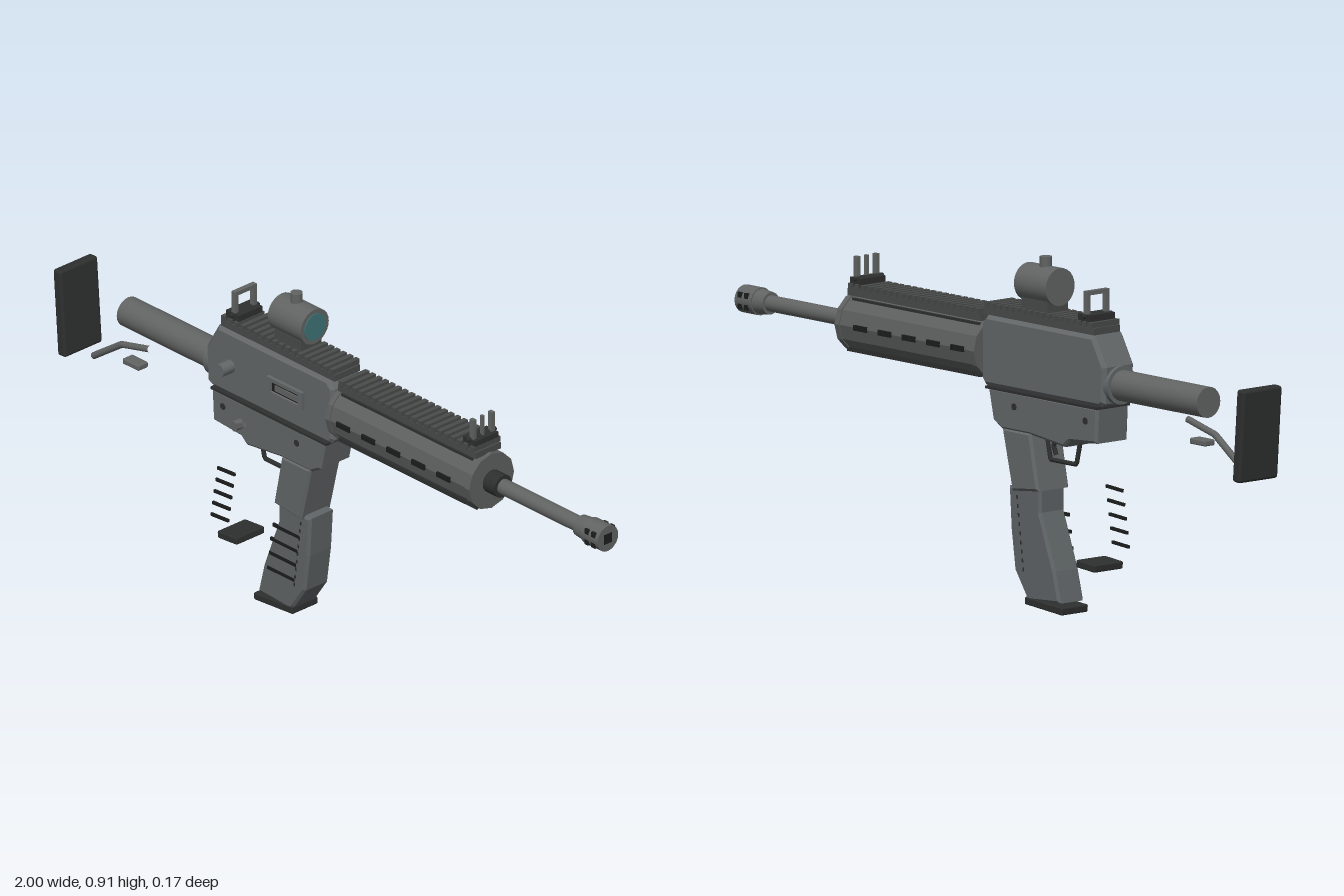
import * as THREE from 'three';
import { RoundedBoxGeometry } from 'three/addons/geometries/RoundedBoxGeometry.js';

const CZ = -0.006; // centre plane of the body

export function createModel() {
  const model = new THREE.Group();
  model.name = 'carbine';
  const mat = (name, color, flat = false) => {
    const m = new THREE.MeshStandardMaterial({ color });
    m.name = name;
    m.flatShading = flat;
    return m;
  };
  const grey = mat('receiverGrey', 0x636768);
  const guardGrey = mat('handguardGrey', 0x5d605f, true);
  const steel = mat('steel', 0x626463);
  const magGrey = mat('magazineGrey', 0x5f6466);
  const railGrey = mat('railGrey', 0x484b4a);
  const dark = mat('darkPolymer', 0x2e2f2f);
  const black = mat('slotBlack', 0x1c1d1d);
  const glass = mat('lensTeal', 0x3f7478);

  const add = (name, geo, material, x = 0, y = 0, z = CZ, rz = 0) => {
    const m = new THREE.Mesh(geo, material);
    m.name = name;
    m.position.set(x, y, z);
    m.rotation.z = rz;
    model.add(m);
    return m;
  };
  const box = (name, m, w, h, d, x, y, z = CZ, rz = 0) =>
    add(name, new THREE.BoxGeometry(w, h, d), m, x, y, z, rz);
  const rbox = (name, m, w, h, d, x, y, z = CZ, rz = 0, r = 0.006) =>
    add(name, new RoundedBoxGeometry(w, h, d, 2, r), m, x, y, z, rz);
  // cylinder along x from x0 to x1
  const rod = (name, m, x0, x1, y, r0, r1 = r0, seg = 20, z = CZ) =>
    add(name, new THREE.CylinderGeometry(r1, r0, x1 - x0, seg).rotateZ(-Math.PI / 2), m, (x0 + x1) / 2, y, z);
  // cylinder along z
  const pin = (name, m, r, len, x, y, z) =>
    add(name, new THREE.CylinderGeometry(r, r, len, 14).rotateX(Math.PI / 2), m, x, y, z);
  // side profile extruded symmetrically about the centre plane
  const slab = (name, m, pts, half, bevel = 0.007) => {
    const shape = new THREE.Shape(pts.map(p => new THREE.Vector2(...p)));
    const geo = new THREE.ExtrudeGeometry(shape, {
      depth: 2 * (half - bevel), bevelEnabled: true, bevelThickness: bevel,
      bevelSize: bevel, bevelOffset: -bevel, bevelSegments: 1,
    });
    return add(name, geo.translate(0, 0, bevel - half), m);
  };
  const tube = (name, m, pts, r, z) => {
    const path = new THREE.CurvePath();
    const v = pts.map(p => new THREE.Vector3(p[0], p[1], 0));
    for (let i = 1; i < v.length; i++) path.add(new THREE.LineCurve3(v[i - 1], v[i]));
    return add(name, new THREE.TubeGeometry(path, 36, r, 8), m, 0, 0, z);
  };

  // Receiver halves
  slab('upperReceiver', grey, [[-0.44, 0.57], [-0.425, 0.56], [0.02, 0.56], [0.032, 0.575], [0.032, 0.72],
    [0.012, 0.742], [-0.4, 0.742], [-0.445, 0.665]], 0.053, 0.01);
  slab('lowerReceiver', grey, [[-0.415, 0.465], [-0.31, 0.458], [-0.29, 0.44], [-0.16, 0.455], [-0.05, 0.455],
    [-0.015, 0.475], [0.003, 0.558], [-0.42, 0.558]], 0.055);
  slab('magazineWell', grey, [[-0.19, 0.312], [-0.088, 0.301], [-0.05, 0.46], [-0.16, 0.46]], 0.055);
  box('receiverSeam', dark, 0.43, 0.007, 0.113, -0.205, 0.557);

  // Ejection port: raised frame around a dark opening with a bolt
  for (const s of [-1, 1]) {
    box('portFrame', grey, 0.132, 0.01, 0.012, -0.14, 0.65 + s * 0.02, 0.051);
    box('portFrame', grey, 0.014, 0.05, 0.012, -0.14 + s * 0.059, 0.65, 0.051);
  }
  box('portOpening', black, 0.108, 0.032, 0.004, -0.14, 0.65, 0.047);
  box('bolt', steel, 0.09, 0.016, 0.004, -0.135, 0.648, 0.05);

  // Controls on the front side
  pin('forwardAssist', grey, 0.018, 0.045, -0.35, 0.645, 0.064);
  pin('selectorHub', steel, 0.014, 0.03, -0.31, 0.496, 0.058);
  box('selectorLever', steel, 0.05, 0.011, 0.008, -0.295, 0.503, 0.07, 0.45);
  for (const x of [-0.375, -0.1]) pin('receiverPin', dark, 0.009, 0.114, x, 0.52, CZ);

  // Trigger and guard
  tube('triggerGuard', dark, [[-0.292, 0.445], [-0.278, 0.388], [-0.178, 0.388], [-0.163, 0.445]], 0.006, CZ);
  tube('trigger', dark, [[-0.2, 0.45], [-0.19, 0.425], [-0.2, 0.402]], 0.006, CZ);

  // Magazine
  slab('magazine', magGrey, [[-0.185, 0.32], [-0.185, 0.255], [-0.24, 0.11], [-0.26, 0.03], [-0.135, 0.022],
    [-0.085, 0.095], [-0.07, 0.2], [-0.063, 0.31]], 0.043);
  rbox('magazineBase', dark, 0.145, 0.02, 0.09, -0.2, 0.0165, CZ, 0.08, 0.004);
  [[-0.152, 0.243], [-0.16, 0.2], [-0.165, 0.158], [-0.172, 0.113]].forEach(([x, y]) =>
    box('magazineRib', black, 0.1, 0.009, 0.006, x, y, 0.036));
  for (let i = 0; i < 9; i++)
    for (const s of [-1, 1])
      box('magazineMark', dark, 0.005, 0.01, 0.003, -0.098 - i * 0.003, 0.285 - i * 0.023, CZ + s * 0.0425, -0.1);

  // Grip ribs and grip cap
  for (let i = 0; i < 5; i++)
    box('gripRib', black, 0.064, 0.008, 0.006, -0.37 - i * 0.006, 0.333 - i * 0.0355, 0.042, 0.07);
  rbox('gripCap', dark, 0.072, 0.02, 0.098, -0.367, 0.142, CZ, 0.08, 0.004);

  // Stock: tube, collar, strut, latch, butt pad
  rod('bufferTube', steel, -0.787, -0.43, 0.616, 0.04);
  rod('tubeCollar', grey, -0.455, -0.43, 0.616, 0.05);
  tube('stockStrut', steel, [[-0.89, 0.457], [-0.785, 0.53], [-0.68, 0.556]], 0.009, 0.018);
  rbox('stockLatch', steel, 0.06, 0.016, 0.035, -0.725, 0.503, 0.027, 0, 0.004);
  rbox('buttPad', dark, 0.03, 0.242, 0.132, -0.975, 0.56, CZ, 0.075, 0.008);

  // Twelve-sided handguard with end rings, side slots and bottom strip
  const gy = 0.648;
  rod('handguard', guardGrey, 0.032, 0.56, gy, 0.075, 0.075, 12);
  rod('rearRing', guardGrey, 0.03, 0.045, gy, 0.078, 0.078, 12);
  rod('frontRing', guardGrey, 0.55, 0.567, gy, 0.078, 0.078, 12);
  for (let i = 0; i < 5; i++) {
    const x = 0.095 + i * 0.0935;
    for (const s of [-1, 1]) {
      box('ventSlot', black, 0.048, 0.014, 0.01, x, gy, CZ + s * 0.074);
    }
  }
  for (const s of [-1, 1]) {
    box('upperGroove', dark, 0.49, 0.007, 0.007, 0.295, 0.712, CZ + s * 0.038);
    box('lowerStrip', dark, 0.515, 0.012, 0.007, 0.3, 0.582, CZ + s * 0.04);
  }
  box('bottomStrip', dark, 0.515, 0.012, 0.03, 0.3, 0.577);

  // Top rails: a base and a row of teeth
  const rail = (x0, x1, y, n) => {
    box('railBase', railGrey, x1 - x0, 0.018, 0.088, (x0 + x1) / 2, y);
    const step = (x1 - x0) / n;
    for (let i = 0; i < n; i++)
      box('railTooth', railGrey, step * 0.58, 0.014, 0.094, x0 + (i + 0.5) * step, y + 0.016);
  };
  rail(-0.395, 0.03, 0.751, 18);
  rail(0.042, 0.555, 0.73, 21);

  // Barrel, nut and muzzle device
  rod('barrelNut', dark, 0.56, 0.61, gy, 0.031);
  rod('barrel', steel, 0.6, 0.92, gy, 0.021);
  rod('muzzleTaper', steel, 0.9, 0.937, gy, 0.029, 0.033);
  rod('muzzle', steel, 0.937, 1, gy, 0.036);
  box('bore', black, 0.004, 0.028, 0.028, 0.9985, gy);
  for (const x of [0.957, 0.982])
    for (const sy of [-1, 1])
      for (const sz of [-1, 1])
        box('muzzlePort', black, 0.014, 0.014, 0.012, x, gy + sy * 0.015, CZ + sz * 0.029);

  // Reflex optic
  rod('opticBody', steel, -0.215, -0.092, 0.838, 0.049, 0.049, 24);
  rod('opticLens', glass, -0.094, -0.0895, 0.838, 0.037, 0.037, 24);
  box('opticMount', railGrey, 0.1, 0.034, 0.07, -0.155, 0.785);
  add('opticTurret', new THREE.CylinderGeometry(0.016, 0.016, 0.03, 14), steel, -0.16, 0.896);

  // Rear sight: base, two posts and a top bar
  box('rearSightBase', dark, 0.048, 0.022, 0.082, -0.355, 0.78);
  for (const s of [-1, 1]) box('rearSightPost', steel, 0.014, 0.06, 0.011, -0.355, 0.82, CZ + s * 0.032);
  box('rearSightBar', steel, 0.014, 0.011, 0.075, -0.355, 0.845);
  pin('rearSightPin', dark, 0.006, 0.1, -0.355, 0.785, CZ);

  // Front sight: base, two ears and a centre post
  box('frontSightBase', dark, 0.045, 0.022, 0.082, 0.527, 0.757);
  for (const s of [-1, 1]) box('frontSightEar', steel, 0.014, 0.06, 0.011, 0.532, 0.793, CZ + s * 0.032);
  box('frontSightPost', steel, 0.009, 0.06, 0.008, 0.532, 0.793);
  pin('frontSightPin', dark, 0.006, 0.1, 0.527, 0.766, CZ);

  return model;
}
